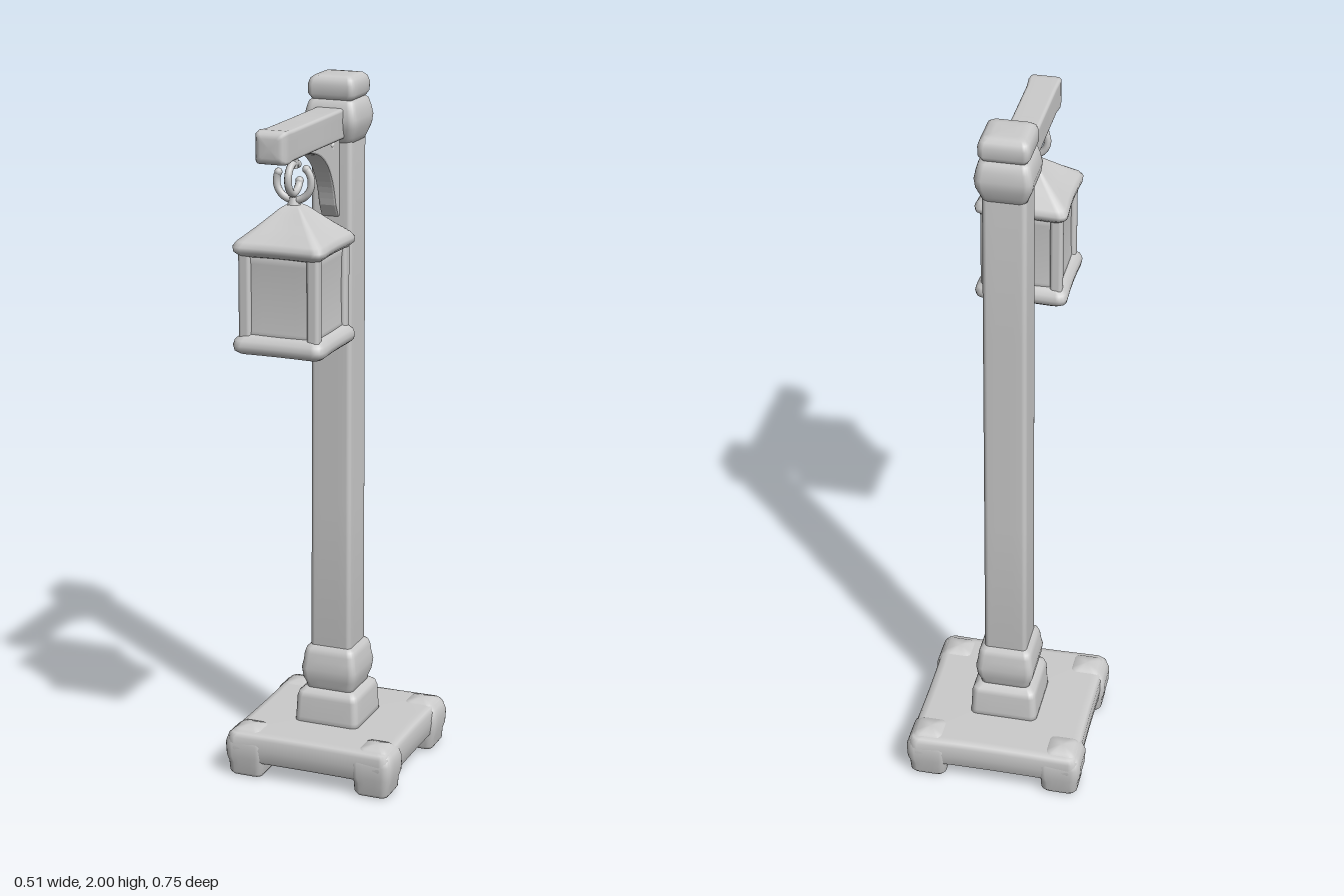
import * as THREE from 'three';
import { RoundedBoxGeometry } from 'three/addons/geometries/RoundedBoxGeometry.js';

const material = new THREE.MeshStandardMaterial({ color: 0xcccccc });
const POST_Z = -0.127;

function add(parent, name, geometry, x = 0, y = 0, z = 0) {
  const mesh = new THREE.Mesh(geometry, material);
  mesh.name = name;
  mesh.position.set(x, y, z);
  parent.add(mesh);
  return mesh;
}

// Stacks rounded-square sections [height, half width]; pinch draws the middle of each side inwards.
function squareLoft(profile, round = 0.25, pinch = 0) {
  const unit = [];
  for (let side = 0; side < 4; side++) {
    const a0 = side * Math.PI / 2;
    const corner = 1 - round;
    const local = [[1, -corner * 0.5], [1, 0], [1, corner * 0.5]];
    for (let i = 0; i <= 4; i++) {
      const a = i * Math.PI / 8;
      local.push([corner + round * Math.cos(a), corner + round * Math.sin(a)]);
    }
    for (const [u, v] of local) {
      const m = Math.min(Math.abs(u), Math.abs(v));
      const s = 1 - pinch * (1 - m * m);
      unit.push([s * (u * Math.cos(a0) - v * Math.sin(a0)), s * (u * Math.sin(a0) + v * Math.cos(a0))]);
    }
  }
  const n = unit.length, positions = [], index = [];
  for (const [y, h] of profile) for (const [u, v] of unit) positions.push(u * h, y, v * h);
  const rows = profile.length;
  for (let j = 0; j < rows - 1; j++) {
    for (let i = 0; i < n; i++) {
      const a = j * n + i, b = j * n + (i + 1) % n;
      index.push(a, a + n, b, b, a + n, b + n);
    }
  }
  const bottom = rows * n, top = bottom + 1;
  positions.push(0, profile[0][0], 0, 0, profile[rows - 1][0], 0);
  for (let i = 0; i < n; i++) {
    const k = (i + 1) % n;
    index.push(bottom, i, k, top, (rows - 1) * n + k, (rows - 1) * n + i);
  }
  const geometry = new THREE.BufferGeometry();
  geometry.setAttribute('position', new THREE.Float32BufferAttribute(positions, 3));
  geometry.setIndex(index);
  geometry.computeVertexNormals();
  return geometry;
}

function makeBase() {
  const base = new THREE.Group();
  base.name = 'base';
  base.position.z = POST_Z;
  add(base, 'baseSlab', squareLoft([
    [0.045, 0.215], [0.046, 0.232], [0.055, 0.242], [0.09, 0.247], [0.122, 0.246], [0.133, 0.238], [0.137, 0.22],
  ], 0.1, 0.02));
  // Swollen corners that run down into feet
  for (const sx of [-1, 1]) for (const sz of [-1, 1]) {
    add(base, 'cornerFoot', squareLoft([
      [0, 0.035], [0.002, 0.045], [0.012, 0.052], [0.04, 0.054], [0.06, 0.06],
      [0.1, 0.062], [0.125, 0.054], [0.14, 0.035], [0.145, 0.012],
    ], 0.4), sx * 0.192, 0, sz * 0.184);
  }
  return base;
}

function makePost() {
  const post = new THREE.Group();
  post.name = 'post';
  post.position.z = POST_Z;
  add(post, 'pedestal', squareLoft([
    [0.12, 0.098], [0.15, 0.096], [0.21, 0.093], [0.225, 0.088], [0.235, 0.074], [0.237, 0.06],
  ], 0.2));
  add(post, 'lowerCollar', squareLoft([
    [0.22, 0.068], [0.245, 0.072], [0.265, 0.08], [0.295, 0.084], [0.32, 0.079],
    [0.34, 0.077], [0.355, 0.072], [0.365, 0.06],
  ], 0.25));
  add(post, 'shaft', squareLoft([[0.33, 0.061], [0.8, 0.06], [1.4, 0.059], [1.94, 0.058]], 0.22));
  add(post, 'upperCollar', squareLoft([
    [1.815, 0.056], [1.835, 0.064], [1.86, 0.074], [1.885, 0.077], [1.91, 0.072], [1.93, 0.066], [1.938, 0.055],
  ], 0.28));
  add(post, 'cap', squareLoft([
    [1.93, 0.05], [1.937, 0.06], [1.95, 0.068], [1.975, 0.068], [1.99, 0.063], [1.998, 0.053], [2, 0.035],
  ], 0.25));
  return post;
}

function makeArm() {
  const arm = new THREE.Group();
  arm.name = 'arm';
  const beam = squareLoft([
    [-0.12, 0.042], [0.1, 0.041], [0.28, 0.041], [0.32, 0.044], [0.338, 0.042], [0.347, 0.036], [0.35, 0.025],
  ], 0.22);
  beam.rotateX(Math.PI / 2);
  add(arm, 'beam', beam, 0, 1.874, 0);

  // Curved bracket with a small opening in the corner
  const shape = new THREE.Shape();
  shape.moveTo(-0.09, 1.61);
  shape.lineTo(-0.066, 1.625);
  shape.lineTo(-0.05, 1.655);
  shape.bezierCurveTo(-0.03, 1.74, 0.01, 1.81, 0.13, 1.83);
  shape.lineTo(0.14, 1.85);
  shape.lineTo(-0.09, 1.85);
  const hole = new THREE.Path();
  hole.moveTo(-0.035, 1.832);
  hole.lineTo(-0.006, 1.826);
  hole.lineTo(-0.022, 1.81);
  shape.holes.push(hole);
  const bracket = new THREE.ExtrudeGeometry(shape, {
    depth: 0.04, bevelEnabled: true, bevelSize: 0.005, bevelThickness: 0.006, bevelSegments: 2, curveSegments: 14,
  });
  bracket.translate(0, 0, -0.02);
  bracket.rotateY(-Math.PI / 2);
  add(arm, 'bracket', bracket);
  return arm;
}

// Open ring of round bar with rounded ends, gap centred at the given angle
function addHook(parent, name, radius, gap, gapAngle, y, turn) {
  const hook = new THREE.Group();
  hook.name = name;
  hook.position.y = y;
  hook.rotation.y = turn;
  const arc = Math.PI * 2 - gap, start = gapAngle + gap / 2;
  const ring = add(hook, name + 'Ring', new THREE.TorusGeometry(radius, 0.01, 10, 32, arc));
  ring.rotation.z = start;
  for (const a of [start, start + arc]) {
    add(hook, name + 'Tip', new THREE.SphereGeometry(0.011, 10, 8), radius * Math.cos(a), radius * Math.sin(a), 0);
  }
  parent.add(hook);
}

function makeLantern() {
  const lantern = new THREE.Group();
  lantern.name = 'lantern';
  lantern.position.set(0.024, 0, 0.243);
  add(lantern, 'bottomPlate', squareLoft([
    [1.328, 0.1], [1.33, 0.118], [1.338, 0.128], [1.352, 0.131], [1.366, 0.127], [1.378, 0.115], [1.386, 0.095],
  ], 0.22, 0.04));
  add(lantern, 'panels', squareLoft([[1.36, 0.108], [1.39, 0.102], [1.48, 0.1], [1.57, 0.102], [1.61, 0.108]], 0.08));
  for (const sx of [-1, 1]) for (const sz of [-1, 1]) {
    add(lantern, 'cornerPost', new RoundedBoxGeometry(0.034, 0.25, 0.034, 3, 0.01), sx * 0.096, 1.485, sz * 0.096);
  }
  add(lantern, 'roof', squareLoft([
    [1.585, 0.1], [1.592, 0.118], [1.602, 0.129], [1.615, 0.131], [1.628, 0.122],
    [1.66, 0.082], [1.695, 0.042], [1.705, 0.031], [1.713, 0.018],
  ], 0.22, 0.06));
  add(lantern, 'hookStem', new THREE.CylinderGeometry(0.012, 0.02, 0.03, 12), 0, 1.718, 0);
  addHook(lantern, 'lowerHook', 0.049, 1.9, Math.PI * 0.55, 1.773, 0);
  addHook(lantern, 'upperHook', 0.04, 1.3, Math.PI * 0.9, 1.782, -Math.PI / 2);
  add(lantern, 'armStaple', new THREE.CylinderGeometry(0.013, 0.011, 0.04, 12), 0, 1.828, 0);
  return lantern;
}

export function createModel() {
  const model = new THREE.Group();
  model.name = 'lanternPost';
  model.add(makeBase(), makePost(), makeArm(), makeLantern());
  return model;
}
